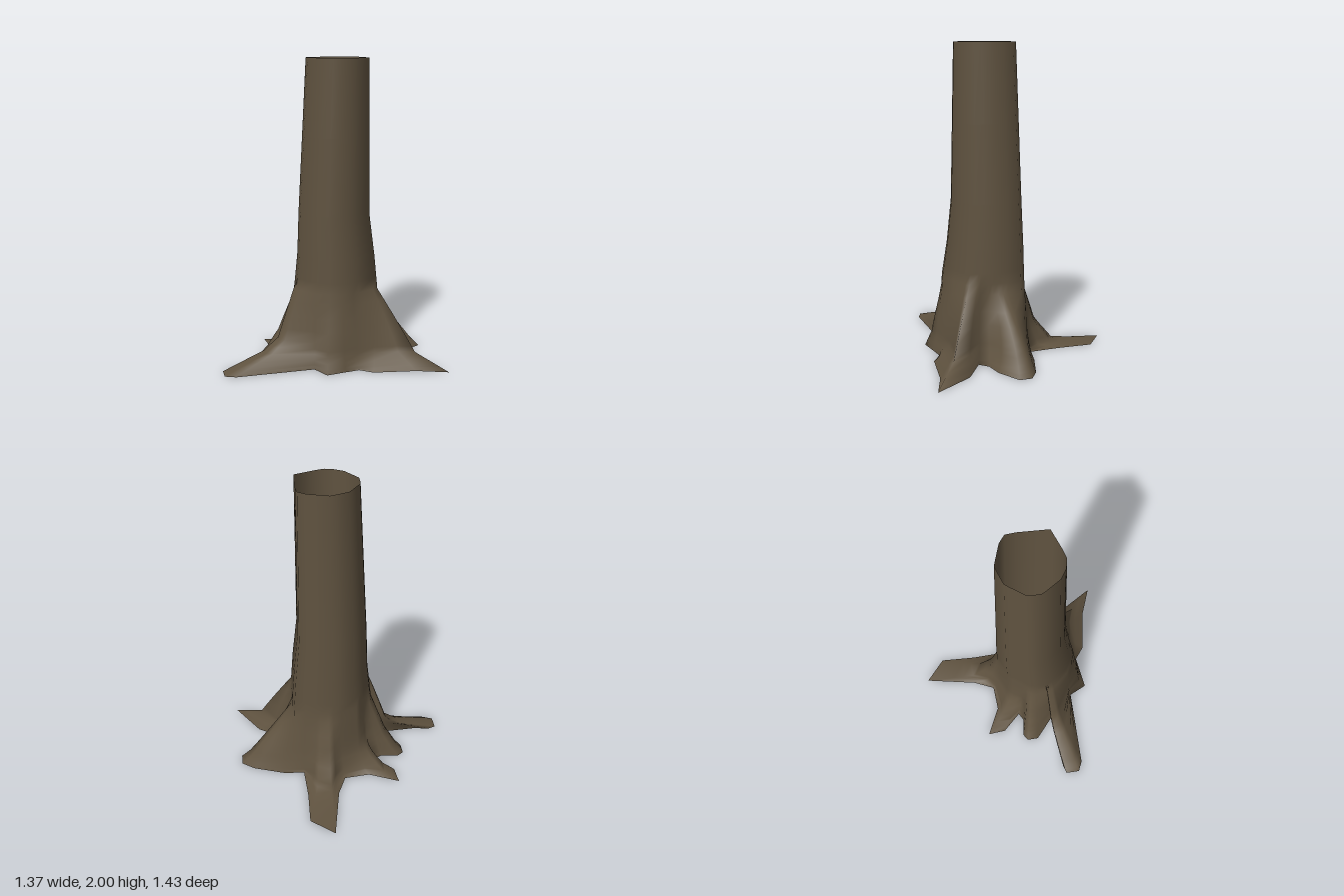
import * as THREE from 'three';

const { lerp } = THREE.MathUtils;

// Top opening of the trunk, as [x, z] corners
const RIM = [
  [0.09, -0.23], [0.21, -0.21], [0.32, -0.09], [0.33, -0.04], [0.2, 0.17],
  [0.01, 0.14], [-0.07, 0.06], [-0.08, -0.1], [-0.04, -0.17],
];
const CENTRE = [0.125, -0.03];

// Trunk core extents by height: [y, xMin, xMax, zMin, zMax]
const CORE = [
  [0, -0.19, 0.44, -0.34, 0.26],
  [0.2, -0.18, 0.425, -0.32, 0.255],
  [0.5, -0.165, 0.405, -0.3, 0.237],
  [0.72, -0.135, 0.39, -0.29, 0.208],
  [1, -0.12, 0.365, -0.28, 0.17],
  [2, -0.08, 0.33, -0.23, 0.17],
];

// Ground outline by root: [x, z] corners, how far it still reaches out at each height [y, reach],
// and for wide roots the point in plan that the sides narrow towards
const BUMP = [[0, 1], [0.1, 0.55], [0.4, 0]];
const ROOTS = [
  { reach: [[0, 1], [0.01, 0.62], [0.03, 0.34], [0.17, 0.13], [0.43, 0]],
    pts: [[0.33, -0.45], [0.56, -0.72], [0.625, -0.54], [0.5, -0.34], [0.4, -0.15]] },
  { reach: [[0, 1], [0.06, 0.82], [0.43, 0]], apex: [0.41, 0.02],
    pts: [[0.51, -0.07], [0.645, 0.09], [0.685, 0.18], [0.645, 0.25], [0.48, 0.25]] },
  { reach: BUMP, pts: [[0.37, 0.21], [0.3, 0.23]] },
  { reach: [[0, 1], [0.1, 0.51], [0.5, 0]], apex: [0.25, 0.3],
    pts: [[0.395, 0.42], [0.405, 0.71], [0.27, 0.55], [0.05, 0.375]] },
  { reach: BUMP, pts: [[0.01, 0.28], [-0.08, 0.245], [-0.2, 0.2], [-0.19, 0.07]] },
  { reach: [[0, 1], [0.1, 0.43], [0.18, 0.23], [0.57, 0]],
    pts: [[-0.64, -0.18], [-0.685, -0.24], [-0.64, -0.32], [-0.59, -0.31], [-0.5, -0.24], [-0.31, -0.14]] },
  { reach: [[0, 1], [0.06, 0.75], [0.18, 0.42], [0.45, 0]],
    pts: [[-0.24, -0.15], [-0.305, -0.33], [-0.27, -0.395], [-0.22, -0.4], [-0.13, -0.33]] },
  { reach: [[0, 1], [0.02, 0.62], [0.09, 0.26], [0.18, 0.04], [0.33, 0]],
    pts: [[-0.07, -0.33], [-0.11, -0.49], [-0.06, -0.6], [0.06, -0.43], [0.21, -0.36]] },
];

const HEIGHTS = [0, 0.01, 0.02, 0.03, 0.06, 0.1, 0.135, 0.18, 0.25, 0.33, 0.43, 0.5, 0.57, 0.72, 1, 1.5, 2];
const SMOOTH_FROM = 0.57;

// Row of a table whose first column is the height, blended between its neighbours
function sample(table, y) {
  const k = table.findIndex((row) => row[0] >= y);
  if (k < 0) return table[table.length - 1];
  if (k === 0) return table[0];
  const t = (y - table[k - 1][0]) / (table[k][0] - table[k - 1][0]);
  return table[k].map((v, i) => lerp(table[k - 1][i], v, t));
}

// Rim corners about the centre, with the outward normal shared by the two sides at each
const CORNERS = RIM.map(([x, z]) => new THREE.Vector2(x - CENTRE[0], z - CENTRE[1]));
const corner = (i) => CORNERS[(i + CORNERS.length) % CORNERS.length];
const sideNormal = (i) => {
  const side = corner(i + 1).clone().sub(corner(i)).normalize();
  return new THREE.Vector2(side.y, -side.x);
};
const cornerNormal = (i) => sideNormal(i - 1).add(sideNormal(i)).normalize();

// Where the direction of a plan point meets the rim, and the rounded normal there
function rimPoint(x, z) {
  const d = new THREE.Vector2(x - CENTRE[0], z - CENTRE[1]);
  const i = CORNERS.findIndex((a, j) => a.cross(d) >= 0 && d.cross(corner(j + 1)) >= 0);
  const side = corner(i + 1).clone().sub(corner(i));
  const offset = d.clone().multiplyScalar(corner(i).cross(side) / d.cross(side));
  const t = offset.distanceTo(corner(i)) / side.length();
  return { offset, normal: cornerNormal(i).lerp(cornerNormal(i + 1), t).normalize() };
}

// Open shell lofted from the root outline up to the angular rim
function trunkGeometry() {
  const columns = ROOTS.flatMap(({ reach, pts, apex }) => pts.map(([x, z]) => ({
    x, z, reach, rim: rimPoint(x, z), ridge: rimPoint(...(apex ?? [x, z])), climb: reach[reach.length - 1][0],
  })));
  const n = columns.length;
  const [, rimX0, rimX1, rimZ0, rimZ1] = CORE[CORE.length - 1];
  const positions = [];
  const index = [];
  HEIGHTS.forEach((y, j) => {
    const [, x0, x1, z0, z1] = sample(CORE, y);
    columns.forEach((c, i) => {
      const p = c.rim.offset.clone().lerp(c.ridge.offset, Math.max(0, 1 - y / c.climb));
      const coreX = (x0 + x1) / 2 + (p.x * (x1 - x0)) / (rimX1 - rimX0);
      const coreZ = (z0 + z1) / 2 + (p.y * (z1 - z0)) / (rimZ1 - rimZ0);
      const out = sample(c.reach, y)[1];
      positions.push(lerp(coreX, c.x, out), y, lerp(coreZ, c.z, out));
      if (j === 0) return;
      const a = (j - 1) * n + i;
      const b = (j - 1) * n + ((i + 1) % n);
      index.push(a, a + n, b, b, a + n, b + n);
    });
  });
  const geometry = new THREE.BufferGeometry();
  geometry.setAttribute('position', new THREE.Float32BufferAttribute(positions, 3));
  geometry.setIndex(index);
  geometry.computeVertexNormals();

  // Soft shading across the broad sides of the upper trunk
  HEIGHTS.forEach((y, j) => {
    if (y < SMOOTH_FROM) return;
    columns.forEach(({ rim }, i) => geometry.attributes.normal.setXYZ(j * n + i, rim.normal.x, 0, rim.normal.y));
  });
  return geometry;
}

export function createModel() {
  const model = new THREE.Group();
  model.name = 'hollowTreeTrunk';
  const bark = new THREE.MeshStandardMaterial({ color: 0x605340, side: THREE.DoubleSide });
  bark.name = 'bark';
  const trunk = new THREE.Mesh(trunkGeometry(), bark);
  trunk.name = 'trunkWithRoots';
  model.add(trunk);
  return model;
}
